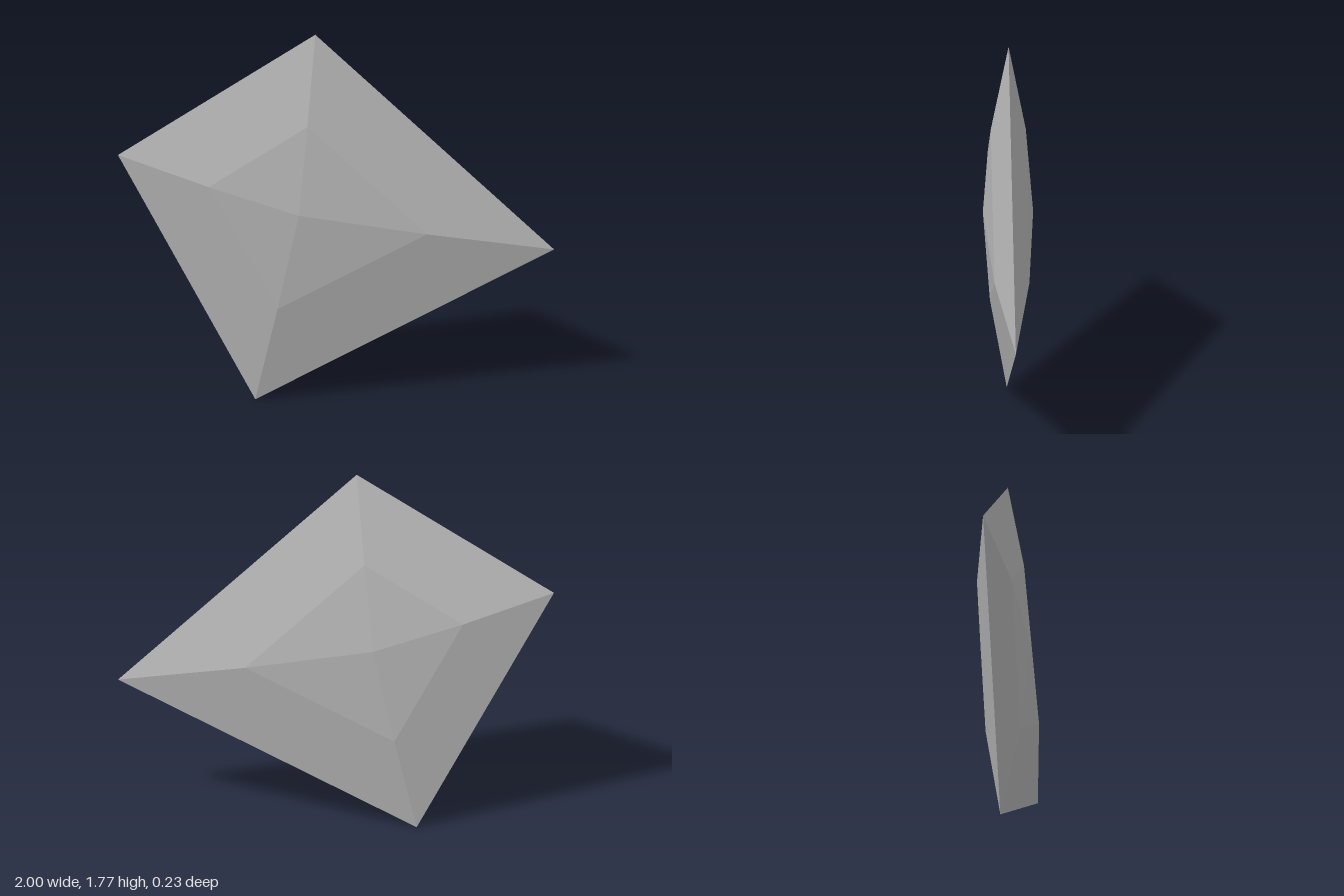
import * as THREE from 'three';

// Rim corners, counter-clockwise seen from the front
const RIM = [[-0.095, 1.775], [-1, 1.215], [-0.37, 0], [1, 0.69]];
const PEAK = [-0.18, 0.935];
const PEAK_Z = 0.115;
const SHOULDER_Z = 0.08;

// One faceted half of the shard; side is +1 for front, -1 for back
function shardHalf(side) {
  const positions = [];
  const tri = (a, b, c) => positions.push(...a, ...(side > 0 ? b : c), ...(side > 0 ? c : b));
  const peak = [...PEAK, PEAK_Z * side];
  const rim = RIM.map(([x, y]) => [x, y, 0]);
  // Shoulder corners lie halfway between the rim and the peak
  const shoulder = RIM.map(([x, y]) => [(x + PEAK[0]) / 2, (y + PEAK[1]) / 2, SHOULDER_Z * side]);
  for (let i = 0; i < RIM.length; i++) {
    const j = (i + 1) % RIM.length;
    tri(peak, shoulder[i], shoulder[j]); // shallow inner facet
    tri(shoulder[i], rim[i], rim[j]); // steep outer facet
    tri(shoulder[i], rim[j], shoulder[j]);
  }
  const geometry = new THREE.BufferGeometry();
  geometry.setAttribute('position', new THREE.Float32BufferAttribute(positions, 3));
  geometry.computeVertexNormals();
  return geometry;
}

export function createModel() {
  const group = new THREE.Group();
  group.name = 'shard';
  const grey = new THREE.MeshStandardMaterial({ color: 0xb8b8b8, flatShading: true });
  grey.name = 'grey';
  for (const [name, side] of [['frontFacets', 1], ['backFacets', -1]]) {
    const mesh = new THREE.Mesh(shardHalf(side), grey);
    mesh.name = name;
    group.add(mesh);
  }
  return group;
}
